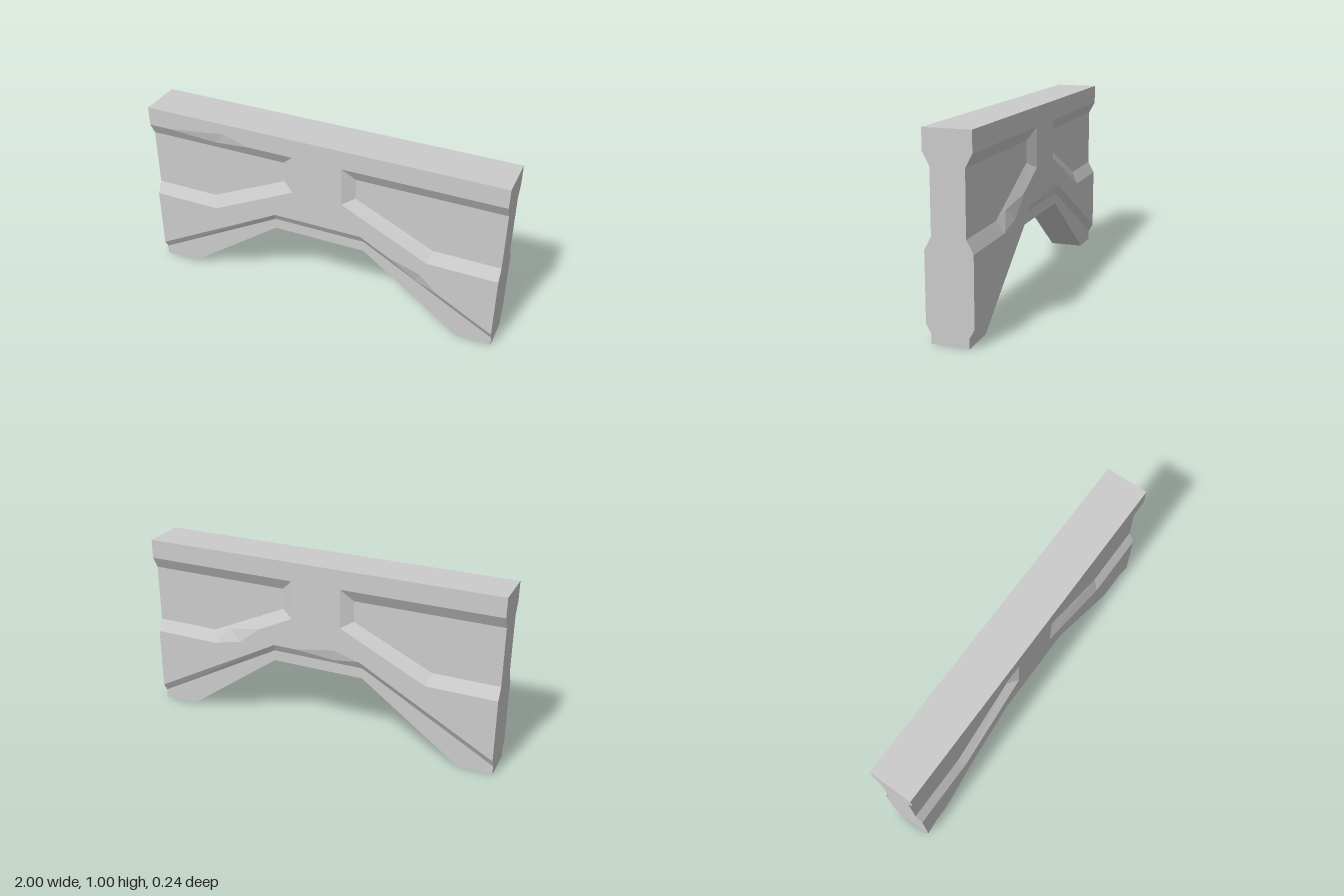
import * as THREE from 'three';

const HALF = 0.12, FLOOR = 0.085, LIP = 0.095;
const material = new THREE.MeshStandardMaterial({ color: 0xcccccc, flatShading: true });

// Bevel outlines: outer edge on the plate, inner edge at the far side of the slope
const recessOuter = [[-1, 0.895], [-0.14, 0.895], [-0.14, 0.68], [-0.62, 0.445], [-1, 0.445]];
const recessInner = [[-1, 0.83], [-0.205, 0.83], [-0.205, 0.715], [-0.64, 0.51], [-1, 0.51]];
const bottomOuter = [[-1, 0.095], [-0.25, 0.505], [0.25, 0.505], [1, 0.095]];
const bottomInner = [[-1, 0.05], [-0.26, 0.46], [0.26, 0.46], [1, 0.05]];
const underside = [[-1, 0], [-0.81, 0], [-0.26, 0.4], [0.26, 0.4], [0.81, 0], [1, 0]];

const atZ = (path, z) => path.map(([x, y]) => [x, y, z]);
const mirror = (path) => path.map(([x, y]) => [-x, y]);

function meshFrom(name, positions) {
  const geometry = new THREE.BufferGeometry();
  geometry.setAttribute('position', new THREE.Float32BufferAttribute(positions, 3));
  geometry.computeVertexNormals();
  const mesh = new THREE.Mesh(geometry, material);
  mesh.name = name;
  return mesh;
}

// Triangulate polygons seen from +z, keeping every triangle facing +z
function panel(name, polygons) {
  const positions = [];
  for (const points of polygons) {
    const flat = points.map(([x, y]) => new THREE.Vector2(x, y));
    for (const [a, b, c] of THREE.ShapeUtils.triangulateShape(flat, [])) {
      const ccw = THREE.ShapeUtils.area([flat[a], flat[b], flat[c]]) > 0;
      for (const i of ccw ? [a, b, c] : [a, c, b]) positions.push(...points[i]);
    }
  }
  return meshFrom(name, positions);
}

// End points of a chip, measured along one segment of a path
function chipEnds(path, chip) {
  const [p, q] = [path[chip.seg], path[chip.seg + 1]];
  return [chip.from, chip.to].map((t) => [p[0] + (q[0] - p[0]) * t, p[1] + (q[1] - p[1]) * t, HALF]);
}

// Plate edge, detouring around the chip
function plateEdge(path, chip) {
  const points = atZ(path, HALF);
  if (chip) {
    const [a, b] = chipEnds(path, chip);
    points.splice(chip.seg + 1, 0, a, [...chip.plate, HALF], b);
  }
  return points;
}

// Sloped strip between two paths, plus the facets of the chip
function bevel(outer, inner, depth, chip) {
  const polygons = [];
  for (let i = 0; i + 1 < outer.length; i++) {
    const top = atZ([outer[i], outer[i + 1]], HALF);
    const low = atZ([inner[i + 1], inner[i]], depth);
    if (chip && chip.seg === i) {
      const [a, b] = chipEnds(outer, chip);
      const apex = [...chip.plate, HALF];
      top.splice(1, 0, a, chip.slope, b);
      polygons.push([a, apex, chip.slope], [apex, b, chip.slope]);
    }
    polygons.push([...top, ...low]);
  }
  return polygons;
}

// One carved broad side
function broadSide(name, recessChip, bottomChip) {
  const group = new THREE.Group();
  group.name = name;
  const rightOuter = mirror(recessOuter), rightInner = mirror(recessInner);
  group.add(
    panel('raisedPlate', [[
      [-1, 1, HALF],
      ...plateEdge(recessOuter, recessChip),
      ...plateEdge(bottomOuter, bottomChip),
      ...atZ(rightOuter, HALF).reverse(),
      [1, 1, HALF],
    ]]),
    panel('recessFloors', [atZ(recessInner, FLOOR), atZ(rightInner, FLOOR)]),
    panel('recessBevels', [
      ...bevel(recessOuter, recessInner, FLOOR, recessChip),
      ...bevel(rightOuter, rightInner, FLOOR),
    ]),
    panel('lowerBevel', bevel(bottomOuter, bottomInner, LIP, bottomChip)),
    panel('lowerLip', [[...atZ(bottomInner, LIP), ...atZ(underside, LIP).reverse()]]),
  );
  return group;
}

export function createModel() {
  const model = new THREE.Group();
  model.name = 'barrier';

  // Front and back sides, each with its own two chipped edges
  const front = broadSide('frontSide',
    { seg: 0, from: 0.14, to: 0.7, plate: [-0.54, 0.94], slope: [-0.6, 0.87, 0.1065] },
    { seg: 2, from: 0.2, to: 0.58, plate: [0.59, 0.36], slope: [0.56, 0.298, 0.098] });
  const back = broadSide('backSide',
    { seg: 2, from: 0.41, to: 0.98, plate: [-0.465, 0.48], slope: [-0.535, 0.54, 0.095] },
    { seg: 1, from: 0.25, to: 0.98, plate: [0.105, 0.545], slope: [0.1, 0.48, 0.106] });
  back.rotation.y = Math.PI;
  model.add(front, back);

  // End walls follow the cut profile of both sides
  const half = [[LIP, 0], [LIP, 0.05], [HALF, 0.095], [HALF, 0.445],
    [FLOOR, 0.51], [FLOOR, 0.83], [HALF, 0.895], [HALF, 1]];
  const profile = [...half, ...mirror(half).reverse()].map(([z, y]) => new THREE.Vector2(z, y));
  for (const side of [1, -1]) {
    const wall = new THREE.Mesh(new THREE.ShapeGeometry(new THREE.Shape(profile)), material);
    wall.name = side > 0 ? 'leftEnd' : 'rightEnd';
    wall.rotation.y = side * Math.PI / 2;
    wall.position.x = side;
    model.add(wall);
  }

  // Flat top
  const top = new THREE.Mesh(new THREE.PlaneGeometry(2, 2 * HALF), material);
  top.name = 'top';
  top.rotation.x = -Math.PI / 2;
  top.position.y = 1;
  model.add(top);

  // Feet and arched underside
  const strip = [];
  for (let i = 0; i + 1 < underside.length; i++) {
    const [p, q] = [underside[i], underside[i + 1]];
    strip.push(...p, -LIP, ...q, -LIP, ...q, LIP, ...p, -LIP, ...q, LIP, ...p, LIP);
  }
  model.add(meshFrom('underside', strip));
  return model;
}
